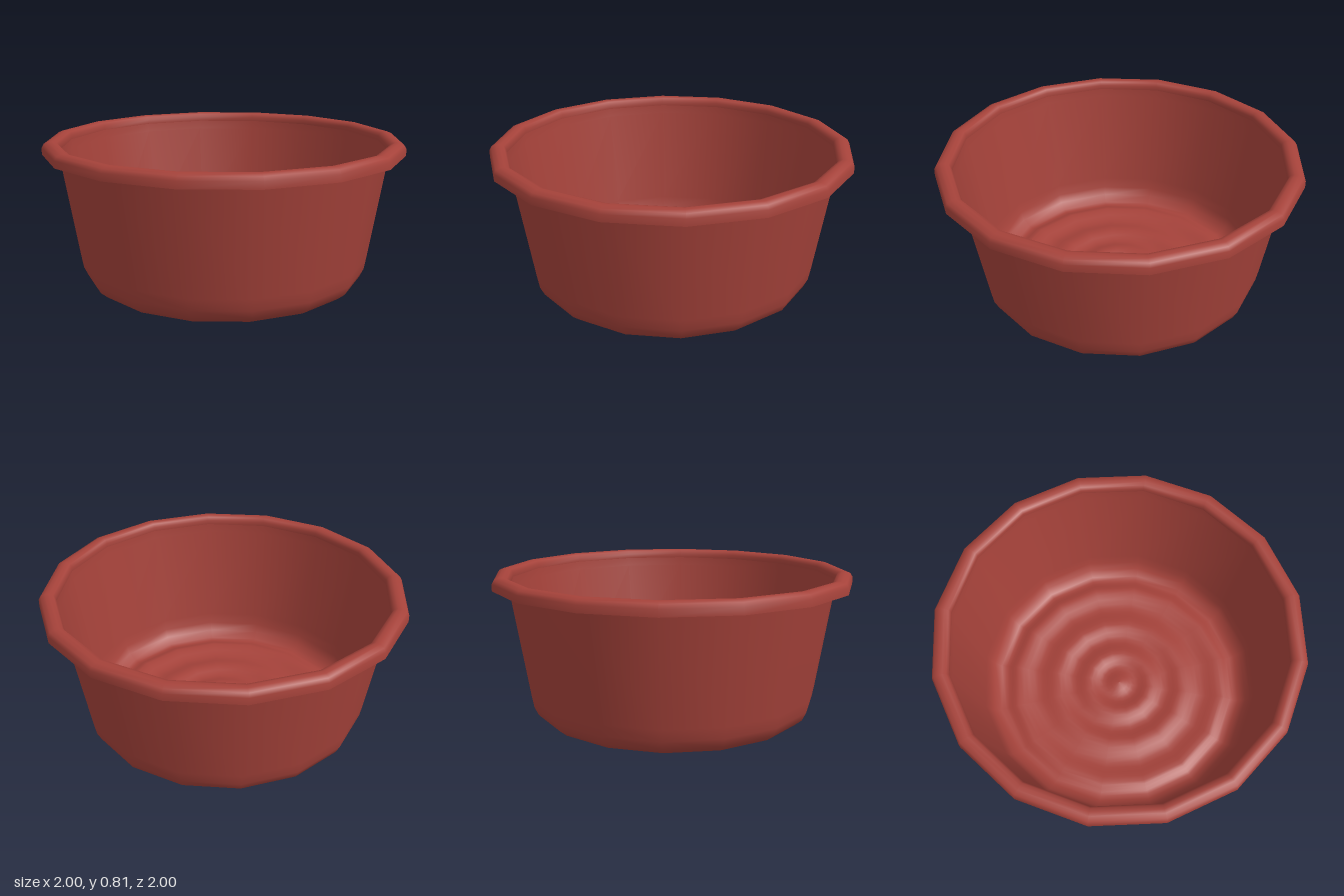
import * as THREE from 'three';

const SIDES = 16;

// Revolve a [radius, height] profile around the y axis
function revolve(name, profile, material) {
  const points = profile.map(([r, y]) => new THREE.Vector2(r, y));
  const mesh = new THREE.Mesh(new THREE.LatheGeometry(points, SIDES), material);
  mesh.name = name;
  return mesh;
}

// Floor rings: smooth waves between alternating crests and troughs
function rippleProfile(radii, height, steps) {
  const points = [];
  for (let i = 0; i < radii.length - 1; i++) {
    for (let s = 0; s < steps; s++) {
      const t = s / steps;
      const wave = (1 + Math.cos(Math.PI * (i + t))) / 2;
      points.push([THREE.MathUtils.lerp(radii[i], radii[i + 1], t), height * wave]);
    }
  }
  return points;
}

export function createModel() {
  const group = new THREE.Group();
  group.name = 'tub';

  const terracotta = new THREE.MeshStandardMaterial({ color: 0xa5423a, side: THREE.DoubleSide });
  terracotta.name = 'terracotta red';

  // Thin shell: rippled floor, rounded foot and flared wall
  const floor = rippleProfile([0, 0.1, 0.19, 0.29, 0.39, 0.51, 0.63, 0.71], 0.022, 4);
  const wall = [[0.71, 0], [0.74, 0.004], [0.78, 0.037], [0.803, 0.085], [0.815, 0.15], [0.905, 0.71], [0.91, 0.76]];
  group.add(revolve('shell', [...floor, ...wall], terracotta));

  // Rolled lip, open underneath
  const lip = [[0.91, 0.76], [0.909, 0.785], [0.92, 0.803], [0.94, 0.81], [0.962, 0.81],
    [0.987, 0.8], [0.999, 0.78], [1, 0.742]];
  group.add(revolve('rolledLip', lip, terracotta));

  return group;
}
